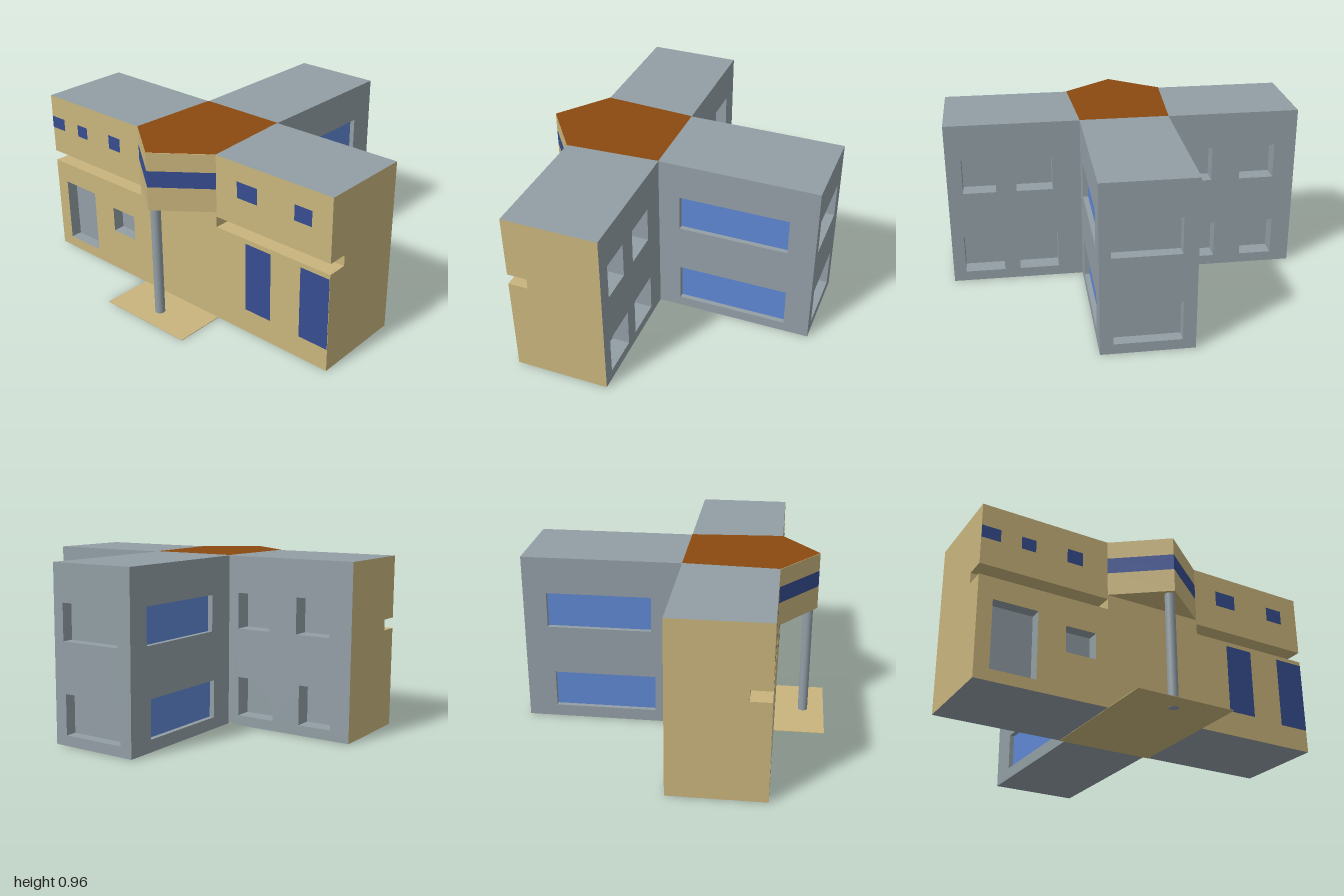
import * as THREE from 'three';

const mat = (color) => new THREE.MeshStandardMaterial({ color });
const GREY = mat(0x929ea5), TAN = mat(0xc8b47c), RUST = mat(0x8b4a10);
const BLUE = mat(0x5f87d3), NAVY = mat(0x364d90);

const H = 0.96, BASE = 0.003;
const NOTCH = { y0: 0.555, y1: 0.615, depth: 0.11 };

// Facing of a wall: turn about y, and the sign from world axis to wall axis
const FACING = {
  east: { turn: Math.PI / 2, sign: -1, n: [1, 0, 0] },
  west: { turn: -Math.PI / 2, sign: 1, n: [-1, 0, 0] },
  front: { turn: 0, sign: 1, n: [0, 0, 1] },
  back: { turn: Math.PI, sign: -1, n: [0, 0, -1] },
};

const shapeOf = (pts) => new THREE.Shape(pts.map(([x, y]) => new THREE.Vector2(x, y)));
const rect = (a0, a1, y0, y1) => [[a0, y0], [a1, y0], [a1, y1], [a0, y1]];

function named(name, geometry, material) {
  const mesh = new THREE.Mesh(geometry, material);
  mesh.name = name;
  return mesh;
}

// Box seen from inside, with the listed faces (0..5 = +x -x +y -y +z -z) left out
function niche(a0, a1, y0, y1, depth, open = [4]) {
  const g = new THREE.BoxGeometry(Math.abs(a1 - a0), y1 - y0, depth);
  const index = [...g.index.array].filter((_, i) => !open.includes(Math.floor(i / 6)));
  g.setIndex(index.reverse());
  g.computeVertexNormals();
  return g.translate((a0 + a1) / 2, (y0 + y1) / 2, -depth / 2);
}

// Upright wall with recessed windows, each [a0, a1, y0, y1, depth, pane material]
function wall(name, facing, offset, outline, material, windows = []) {
  const { turn, sign, n } = FACING[facing];
  const group = new THREE.Group();
  group.name = name;
  const shape = shapeOf(outline.map(([a, y]) => [a * sign, y]));
  for (const [a0, a1, y0, y1, depth, pane] of windows) {
    const u0 = a0 * sign, u1 = a1 * sign;
    shape.holes.push(shapeOf(rect(u0, u1, y0, y1)));
    group.add(named('windowRecess', niche(u0, u1, y0, y1, depth), GREY));
    if (pane) {
      const glass = named('windowPane', new THREE.PlaneGeometry(Math.abs(u1 - u0), y1 - y0), pane);
      glass.position.set((u0 + u1) / 2, (y0 + y1) / 2, 0.002 - depth);
      group.add(glass);
    }
  }
  group.add(named('wallFace', new THREE.ShapeGeometry(shape), material));
  group.rotation.y = turn;
  group.position.set(n[0] * offset, 0, n[2] * offset);
  return group;
}

// Horizontal sheet from [x, z] points, facing up or down
function sheet(name, pts, y, material, up = true) {
  const g = new THREE.ShapeGeometry(shapeOf(pts.map(([x, z]) => [x, up ? -z : z])));
  const mesh = named(name, g.rotateX(up ? -Math.PI / 2 : Math.PI / 2), material);
  mesh.position.y = y;
  return mesh;
}

// Prism standing on a plan of [x, z] points
function prism(name, pts, y0, y1, material) {
  const g = new THREE.ExtrudeGeometry(shapeOf(pts.map(([x, z]) => [x, -z])), { depth: y1 - y0, bevelEnabled: false });
  const mesh = named(name, g.rotateX(-Math.PI / 2), material);
  mesh.position.y = y0;
  return mesh;
}

export function createModel() {
  const model = new THREE.Group();
  model.name = 'building';

  // Roof and underside share one T-shaped plan
  const plan = [[-0.56, -1], [-0.04, -1], [-0.04, -0.25], [0.84, -0.25],
    [0.84, 0.25], [-0.04, 0.25], [-0.04, 1], [-0.56, 1]];
  model.add(sheet('roof', plan, H, GREY), sheet('underside', plan, BASE, GREY, false));

  // East wing
  model.add(wall('eastEndWall', 'east', 0.84, rect(-0.25, 0.25, BASE, H), GREY, [
    [-0.17, 0.19, 0.555, 0.755, 0.065], [-0.18, 0.18, 0.06, 0.28, 0.065]]));
  model.add(wall('eastWingFrontWall', 'front', 0.25, rect(-0.04, 0.84, BASE, H), GREY, [
    [0.08, 0.69, 0.55, 0.755, 0.03, BLUE], [0.085, 0.7, 0.06, 0.28, 0.03, BLUE]]));
  model.add(wall('eastWingBackWall', 'back', 0.25, rect(-0.04, 0.84, BASE, H), GREY, [
    [0.13, 0.71, 0.555, 0.755, 0.03, BLUE], [0.11, 0.68, 0.07, 0.28, 0.03, BLUE]]));

  // Courtyard walls of the long wing
  const D = 0.1;
  model.add(wall('frontCourtWall', 'east', -0.04, rect(0.25, 1, BASE, H), GREY, [
    [0.73, 0.915, 0.555, 0.755, D], [0.41, 0.615, 0.555, 0.755, D],
    [0.705, 0.93, 0.06, 0.28, D], [0.39, 0.615, 0.06, 0.28, D]]));
  model.add(wall('backCourtWall', 'east', -0.04, rect(-1, -0.25, BASE, H), GREY, [
    [-0.51, -0.31, 0.555, 0.755, D], [-0.875, -0.675, 0.555, 0.755, D],
    [-0.54, -0.315, 0.06, 0.28, D], [-0.89, -0.7, 0.06, 0.28, D]]));

  // End walls, notched on the west edge
  const inner = -0.56 + NOTCH.depth;
  const end = [[-0.56, BASE], [-0.04, BASE], [-0.04, H], [-0.56, H], [-0.56, NOTCH.y1],
    [inner, NOTCH.y1], [inner, NOTCH.y0], [-0.56, NOTCH.y0]];
  for (const side of ['front', 'back']) model.add(wall(side + 'EndWall', side, 1, end, TAN));

  // West side: walls above and below a long slot on each wing
  model.add(wall('entranceWall', 'west', 0.56, rect(-0.28, 0.28, BASE, H), TAN));
  const lowerWindows = {
    front: [],
    back: [[-0.92, -0.675, 0.065, 0.435, 0.065], [-0.52, -0.35, 0.25, 0.395, 0.065]],
  };
  for (const [side, s] of [['front', 1], ['back', -1]]) {
    const a = Math.min(0.28 * s, s), b = Math.max(0.28 * s, s);
    model.add(wall(side + 'WestLowerWall', 'west', 0.56, rect(a, b, BASE, NOTCH.y0), TAN, lowerWindows[side]));
    model.add(wall(side + 'WestUpperWall', 'west', 0.56, rect(a, b, NOTCH.y1, H), TAN));
    const slot = named(side + 'WestSlot', niche(a, b, NOTCH.y0, NOTCH.y1, NOTCH.depth, [4, s > 0 ? 0 : 1]), TAN);
    slot.rotation.y = -Math.PI / 2;
    slot.position.x = -0.56;
    model.add(slot);
  }

  // Flush dark panes on the west side: z0, z1, y0, y1
  const panes = [
    [-0.999, -0.895, 0.765, 0.835], [-0.78, -0.7, 0.765, 0.835], [-0.52, -0.43, 0.765, 0.845],
    [0.42, 0.55, 0.77, 0.86], [0.78, 0.885, 0.77, 0.855],
    [0.475, 0.64, 0.14, 0.53], [0.825, 0.999, 0.13, 0.53]];
  for (const [z0, z1, y0, y1] of panes) {
    const pane = named('darkPane', new THREE.PlaneGeometry(z1 - z0, y1 - y0), NAVY);
    pane.rotation.y = -Math.PI / 2;
    pane.position.set(-0.562, (y0 + y1) / 2, (z0 + z1) / 2);
    model.add(pane);
  }

  // Pointed bay with a glazed band, carried on a post
  const bay = [[-0.56, -0.28], [-0.77, 0], [-0.56, 0.28]];
  model.add(prism('bayLower', bay, 0.64, 0.77, TAN));
  model.add(prism('bayGlassBand', bay, 0.77, 0.86, NAVY));
  model.add(prism('bayUpper', bay, 0.86, H, TAN));
  model.add(sheet('centreRoof', [...bay, [-0.04, 0.25], [-0.04, -0.25]], H + 0.002, RUST));

  const post = named('post', new THREE.CylinderGeometry(0.027, 0.027, 0.64, 32), GREY);
  post.position.set(-0.72, 0.32, 0);
  model.add(post);

  // Thin entrance paving running under the building
  const paving = named('paving', new THREE.BoxGeometry(0.8, 0.003, 0.56), TAN);
  paving.position.set(-0.44, 0.0025, 0);
  model.add(paving);

  return model;
}
